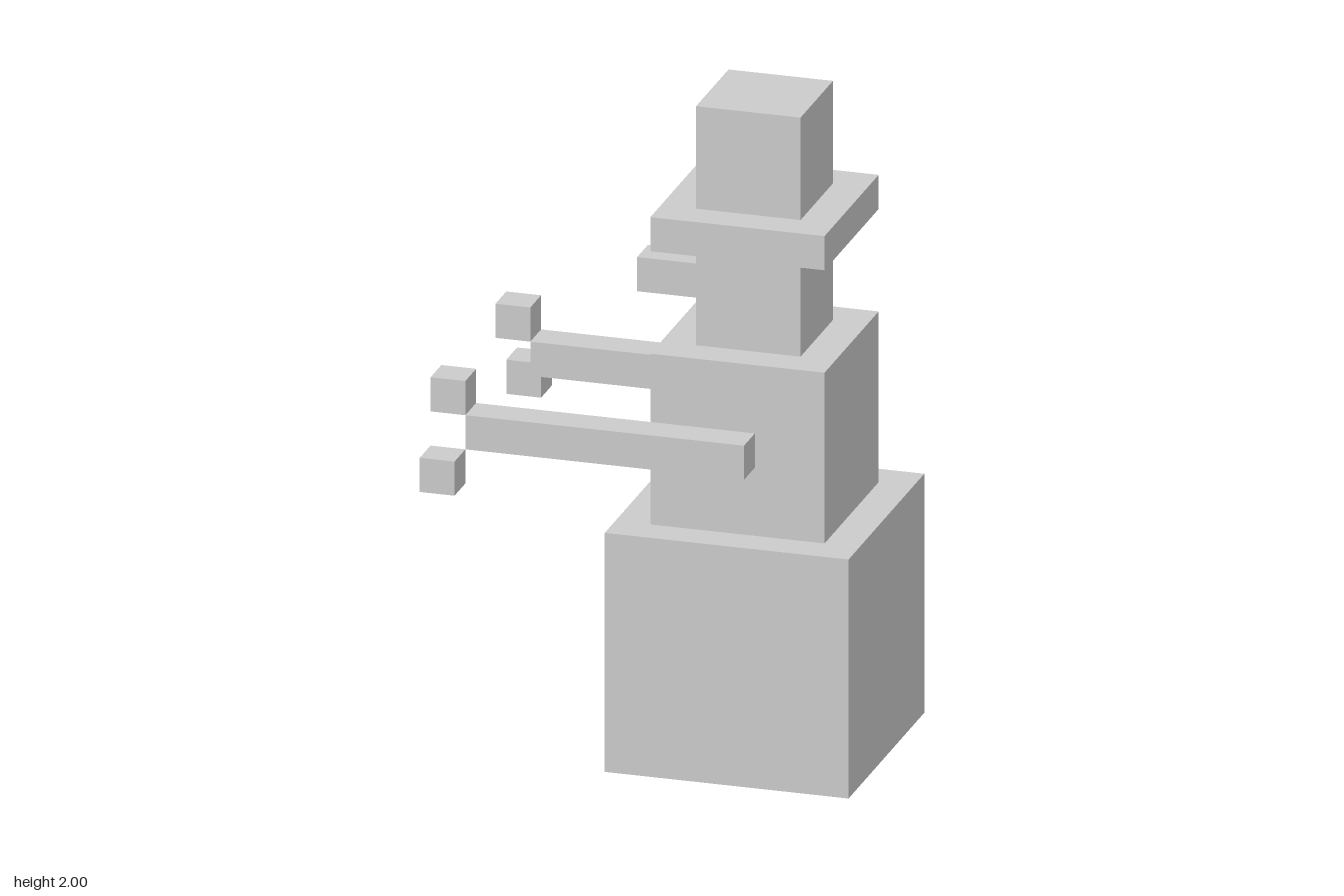
import * as THREE from 'three';

// The figure is laid out on a cubic grid, 19 cells tall
const CELL = 2 / 19;

export function createModel() {
  const model = new THREE.Group();
  model.name = 'blockSnowman';
  const material = new THREE.MeshStandardMaterial({ color: 0xcccccc, flatShading: true });

  // Box spanning [min, max] on each axis, in cells
  function block(name, [x0, x1], [y0, y1], [z0, z1], parent = model) {
    const geometry = new THREE.BoxGeometry((x1 - x0) * CELL, (y1 - y0) * CELL, (z1 - z0) * CELL);
    const mesh = new THREE.Mesh(geometry, material);
    mesh.name = name;
    mesh.position.set(x0 + x1, y0 + y1, z0 + z1).multiplyScalar(CELL / 2);
    parent.add(mesh);
  }

  // Stacked body
  block('lowerBody', [-1, 6], [0, 7], [-3.5, 3.5]);
  block('upperBody', [0, 5], [7, 12], [-2.5, 2.5]);
  block('head', [1, 4], [12, 15], [-1.5, 1.5]);
  block('nose', [-1, 1], [13, 14], [-0.5, 0.5]);

  // Hat
  block('hatBrim', [0, 5], [15, 16], [-2.5, 2.5]);
  block('hatCrown', [1, 4], [16, 19], [-1.5, 1.5]);

  // Arms reach towards -x, each with two fingers touching its tip
  for (const side of [1, -1]) {
    const arm = new THREE.Group();
    arm.name = side > 0 ? 'frontArm' : 'backArm';
    const span = (a, b) => (side > 0 ? [a, b] : [-b, -a]);
    block('armBar', [-5, 3], [9, 10], span(2.5, 3.5), arm);
    block('upperFinger', [-6, -5], [10, 11], span(2.5, 3.5), arm);
    block('lowerFinger', [-6, -5], [8, 9], span(3.5, 4.5), arm);
    model.add(arm);
  }

  return model;
}
